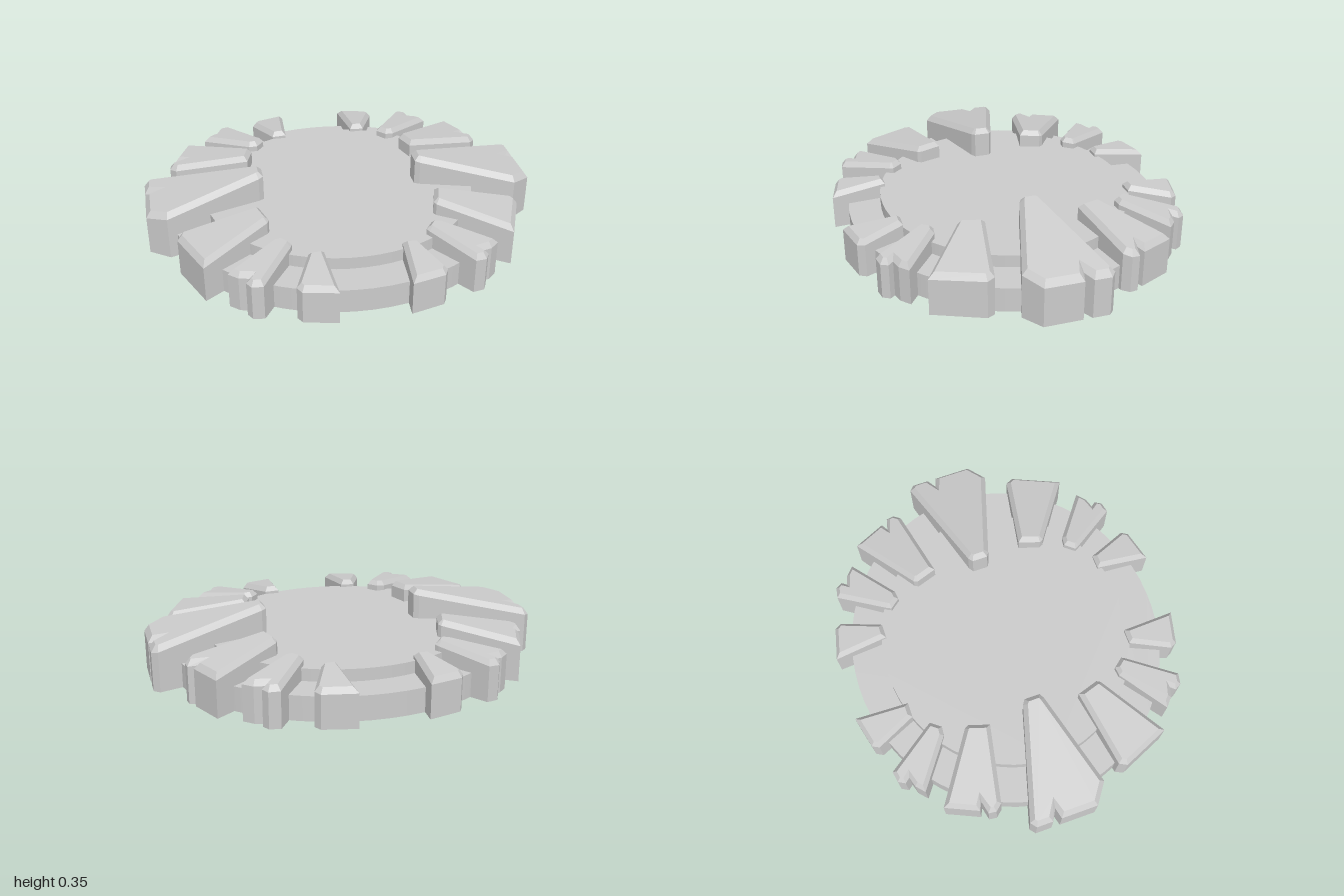
import * as THREE from 'three';

const material = new THREE.MeshStandardMaterial({
  color: 0xcccccc, flatShading: true, side: THREE.DoubleSide,
});

// Move every edge of a counter-clockwise outline inwards by d
function inset(points, d) {
  const n = points.length;
  return points.map((p, i) => {
    const a = p.clone().sub(points[(i + n - 1) % n]).normalize();
    const b = points[(i + 1) % n].clone().sub(p).normalize();
    const na = new THREE.Vector2(-a.y, a.x);
    const nb = new THREE.Vector2(-b.y, b.x);
    const k = d / Math.max(0.35, 1 + na.dot(nb));
    return p.clone().add(na.add(nb).multiplyScalar(k));
  });
}

// Hollow bevelled block: [x, z] outline, top sloping from hIn (centre side) to hOut
function blockGeometry({ outline, hIn, hOut, bevel, drop }, sx, sz) {
  let base = outline.map(([x, z]) => new THREE.Vector2(x * sx, -z * sz));
  if (THREE.ShapeUtils.isClockWise(base)) base.reverse();
  const top = inset(base, bevel);
  const dir = base.reduce((s, p) => s.add(p), new THREE.Vector2()).normalize();
  const along = base.map((p) => p.dot(dir));
  const lo = Math.min(...along), hi = Math.max(...along);
  const height = (p) => THREE.MathUtils.mapLinear(p.dot(dir), lo, hi, hIn, hOut);

  const n = base.length;
  const rings = [
    base.map((p) => [p.x, 0, -p.y]),
    base.map((p) => [p.x, height(p) - drop, -p.y]),
    top.map((p) => [p.x, height(p), -p.y]),
  ];
  const pos = [];
  for (let r = 0; r < 2; r++) {
    for (let i = 0; i < n; i++) {
      const j = (i + 1) % n;
      const [a, b, c, d] = [rings[r][i], rings[r][j], rings[r + 1][j], rings[r + 1][i]];
      pos.push(...a, ...b, ...c, ...a, ...c, ...d);
    }
  }
  for (const f of THREE.ShapeUtils.triangulateShape(top, [])) {
    for (const i of f) pos.push(...rings[2][i]);
  }
  const g = new THREE.BufferGeometry();
  g.setAttribute('position', new THREE.Float32BufferAttribute(pos, 3));
  g.computeVertexNormals();
  return g;
}

// Outlines on the +x side; sides lists the z mirrors in which each is used
const blocks = [
  { name: 'sideBlock', sides: [1], hIn: 0.35, hOut: 0.23, bevel: 0.024, drop: 0.03,
    outline: [[0.4, 0.04], [0.4, -0.04], [0.425, -0.057], [0.97, -0.215], [1, -0.19],
      [1, -0.105], [0.945, -0.075], [1, -0.06], [1, 0.13], [0.9, 0.2], [0.425, 0.055]] },
  { name: 'notchedWedge', sides: [-1], hIn: 0.285, hOut: 0.215, bevel: 0.022, drop: 0.028,
    outline: [[0.415, 0.345], [0.45, 0.24], [0.83, 0.315], [0.86, 0.35], [0.855, 0.39],
      [0.79, 0.405], [0.83, 0.425], [0.755, 0.59], [0.425, 0.365]] },
  { name: 'plainWedge', sides: [1], hIn: 0.285, hOut: 0.215, bevel: 0.022, drop: 0.028,
    outline: [[0.415, 0.345], [0.45, 0.235], [0.84, 0.305], [0.86, 0.345],
      [0.755, 0.59], [0.425, 0.365]] },
  { name: 'cornerBlock', sides: [1, -1], hIn: 0.245, hOut: 0.205, bevel: 0.02, drop: 0.026,
    outline: [[0.33, 0.52], [0.37, 0.47], [0.415, 0.475], [0.65, 0.65], [0.605, 0.69],
      [0.555, 0.705], [0.575, 0.73], [0.555, 0.765], [0.5, 0.775], [0.34, 0.54]] },
  { name: 'endBlock', sides: [1, -1], hIn: 0.23, hOut: 0.195, bevel: 0.02, drop: 0.026,
    outline: [[0.19, 0.595], [0.265, 0.595], [0.355, 0.8], [0.335, 0.835], [0.17, 0.875]] },
];

export function createModel() {
  const model = new THREE.Group();

  // Stepped oval platform, open underneath
  const oval = (rx, rz) => new THREE.Shape().absellipse(0, 0, rx, rz, 0, Math.PI * 2);
  const add = (name, geometry) => {
    const mesh = new THREE.Mesh(geometry, material);
    mesh.name = name;
    model.add(mesh);
    return mesh;
  };
  const wall = (name, rx, rz, y0, y1) => {
    const g = new THREE.CylinderGeometry(1, 1, y1 - y0, 64, 1, true);
    const mesh = add(name, g.scale(rx, 1, rz).translate(0, (y0 + y1) / 2, 0));
    mesh.material = material.clone();
    mesh.material.flatShading = false;
  };
  wall('outerRim', 0.88, 0.81, 0, 0.125);
  wall('innerStep', 0.7, 0.645, 0.125, 0.188);

  const ledge = oval(0.88, 0.81);
  ledge.holes.push(oval(0.7, 0.645));
  add('ledge', new THREE.ShapeGeometry(ledge, 32).rotateX(-Math.PI / 2).translate(0, 0.125, 0));
  add('deck', new THREE.ShapeGeometry(oval(0.7, 0.645), 32)
    .rotateX(-Math.PI / 2).translate(0, 0.188, 0));

  // Ring of radiating blocks, mirrored left and right
  for (const block of blocks) {
    for (const sz of block.sides) {
      for (const sx of [1, -1]) {
        const place = (sz > 0 ? 'Front' : 'Back') + (sx > 0 ? 'Left' : 'Right');
        const suffix = block.name === 'sideBlock' ? place.slice(5) : place;
        add(block.name + suffix, blockGeometry(block, sx, sz));
      }
    }
  }
  return model;
}
